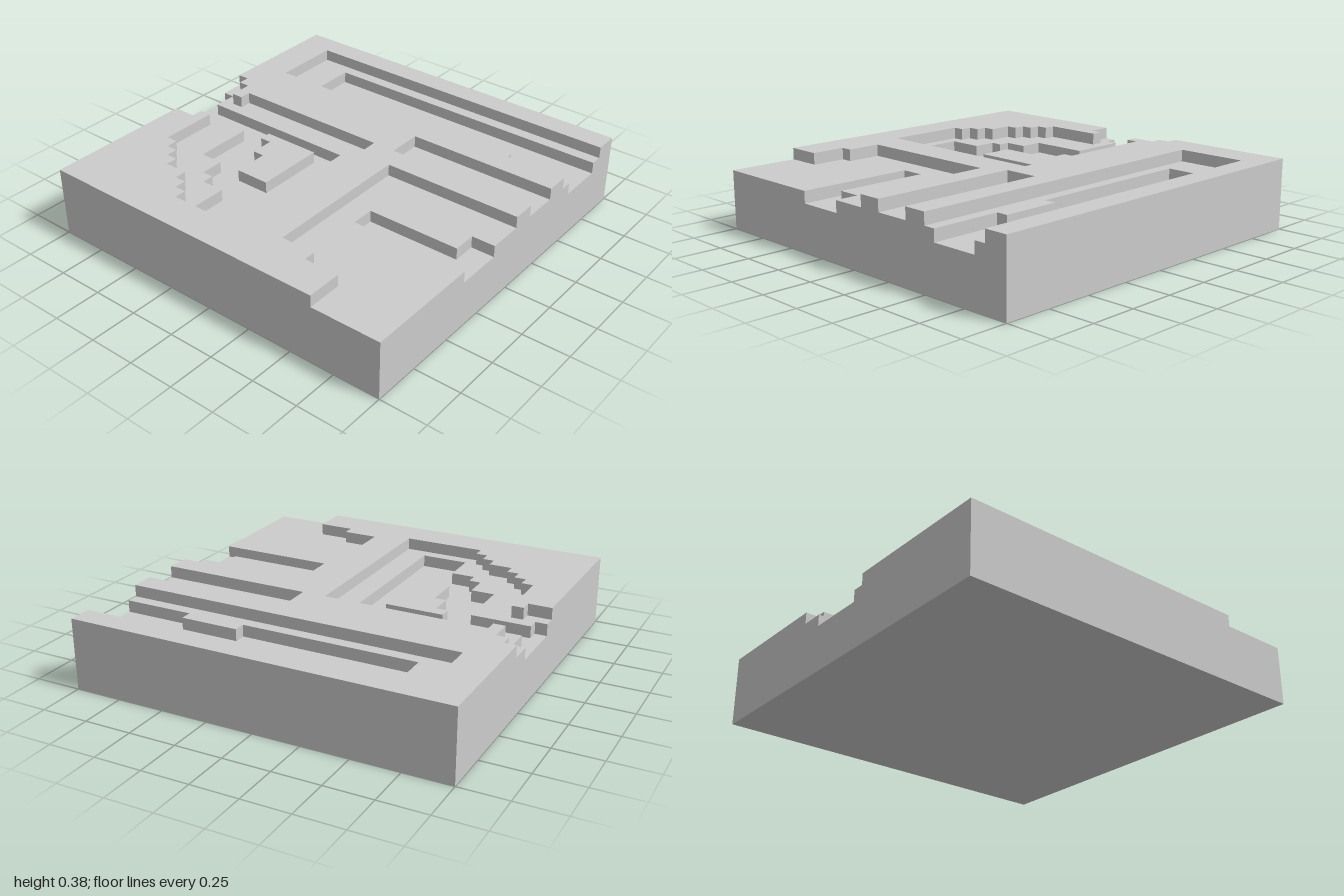
import * as THREE from 'three';

const U = 1 / 16; // grid cell of the stepped relief

// Right-angled outline: starts at (x, z), then alternates new x, new z, ... in grid cells
function steppedShape(x, z, turns) {
  const shape = new THREE.Shape();
  shape.moveTo(x * U, -z * U);
  turns.forEach((v, i) => {
    if (i % 2 === 0) x = v; else z = v;
    shape.lineTo(x * U, -z * U);
  });
  shape.closePath();
  return shape;
}

function slab(name, shape, bottom, height, material) {
  const geometry = new THREE.ExtrudeGeometry(shape, { depth: height * U, bevelEnabled: false });
  geometry.rotateX(-Math.PI / 2);
  geometry.translate(0, bottom * U, 0);
  const mesh = new THREE.Mesh(geometry, material);
  mesh.name = name;
  return mesh;
}

export function createModel() {
  const model = new THREE.Group();
  model.name = 'steppedReliefTile';
  const material = new THREE.MeshStandardMaterial({ color: 0xcccccc, flatShading: true });

  // Solid block up to the deepest channel floor
  const base = steppedShape(-16, -16, [16, 16, -16]);

  // Middle terrace with the basin and the deep channels cut out
  const middle = steppedShape(-16, -16, [
    -2, -15, -1, -10, -6, -8, -8, -7, -9, -5, -12, -1, 1, -15, 3, -16, // basin
    16, 16,
    13, -10, 9, 5, 10, 10, 9, 16, // long channel
    -2, 14, -4, 6, -6, 16, // short channel
    -16,
  ]);

  // Raised block inside the basin
  const island = steppedShape(-6, -6, [-3, -7, -1, -8, 0, -3, -6]);

  // Top terrace with the wider cuts
  const top = steppedShape(-16, -16, [
    -3, -14, -2, -13, -7, -12, -8, -11, -9, -10, -10, -8, -11, -7, -12, -6,
    -13, 1, 3, -13, 2, -14, 4, -15, 5, -16, // basin rim
    16, 16,
    14, -13, 8, 16, // long channel
    6, 3, 3, 16, // shallow channel
    1, 4, -12, 7, -13, 10, // open corner
    -16,
  ]);

  model.add(
    slab('baseBlock', base, 0, 4, material),
    slab('middleTerrace', middle, 4, 1, material),
    slab('basinIsland', island, 4, 1, material),
    slab('topTerrace', top, 5, 1, material),
  );
  return model;
}
